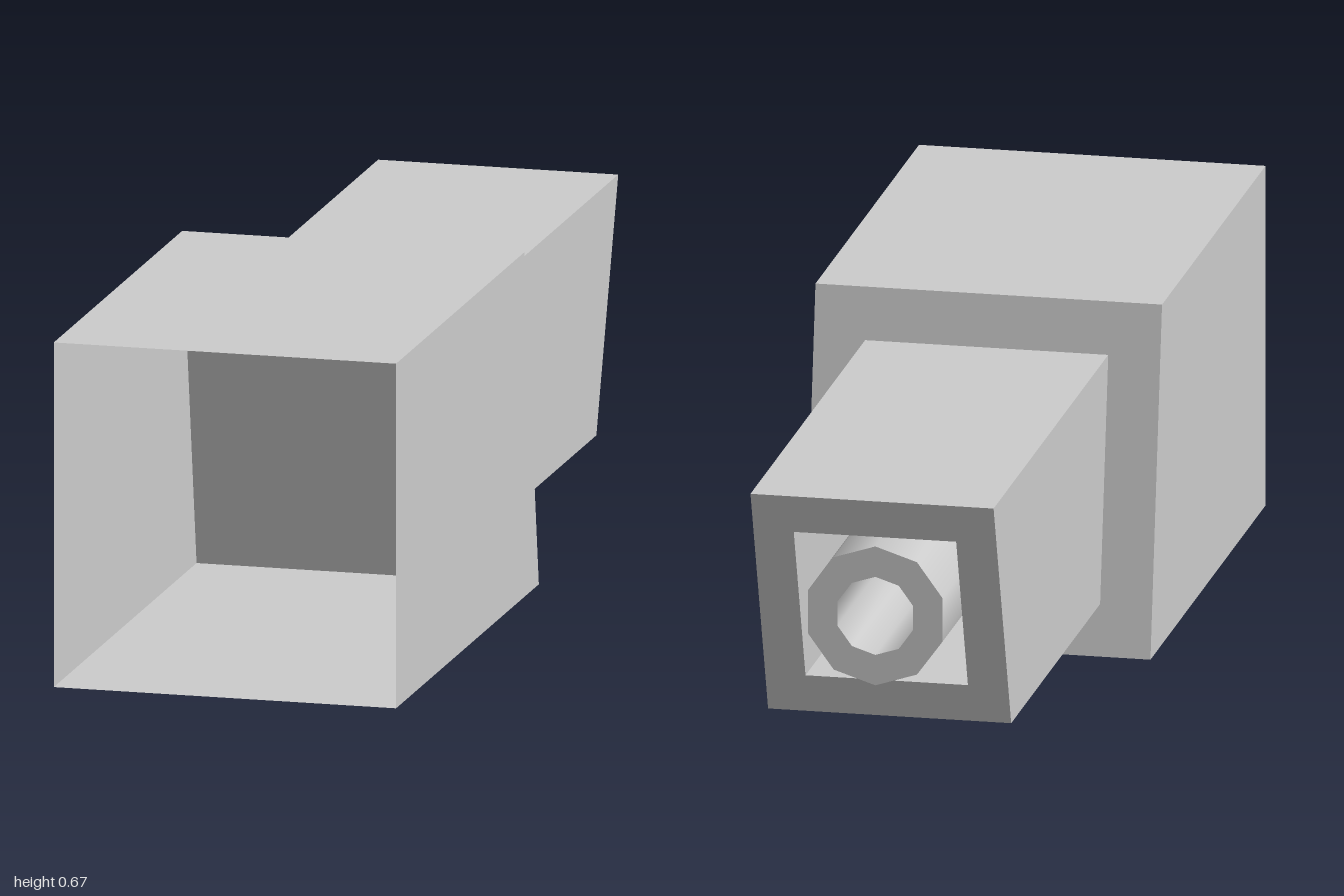
import * as THREE from 'three';
import { toCreasedNormals } from 'three/addons/utils/BufferGeometryUtils.js';

const HEIGHT = 0.67, HALF = 0.335, AXIS = 0.335;

// z of the two sloping planes at a given height
const panelZ = (y) => 0.06 - 0.105 * (1 - y / HEIGHT);
const tipZ = (y) => -0.84 - 0.16 * (y - 0.1) / 0.47;

// Moves the back (z < 0.5) and front ends of a unit-deep prism onto two planes
function fitEnds(geometry, backAt, frontAt) {
  const p = geometry.attributes.position;
  for (let i = 0; i < p.count; i++) {
    const y = p.getY(i);
    p.setZ(i, p.getZ(i) < 0.5 ? backAt(y) : frontAt(y));
  }
  geometry.computeVertexNormals();
  return geometry;
}

function square(PathType, half) {
  return new PathType([[-1, -1], [1, -1], [1, 1], [-1, 1]].map(
    ([x, y]) => new THREE.Vector2(x * half, AXIS + y * half)));
}

export function createModel() {
  const group = new THREE.Group();
  const solid = new THREE.MeshStandardMaterial({ color: 0xcccccc });
  const thin = new THREE.MeshStandardMaterial({ color: 0xcccccc, side: THREE.DoubleSide });
  const add = (name, geometry, material) => {
    const mesh = new THREE.Mesh(geometry, material);
    mesh.name = name;
    group.add(mesh);
  };

  // Large thin-walled housing: open front, sloping back panel
  const box = new THREE.BoxGeometry(HALF * 2, HEIGHT, 1).translate(0, HEIGHT / 2, 0.5);
  const index = Array.from(box.index.array);
  index.splice(24, 6); // remove the front face
  box.setIndex(index);
  add('housing', fitEnds(box, panelZ, () => 1), thin);

  // Square sleeve with a square channel and an angled tip
  const section = square(THREE.Shape, 0.235);
  section.holes.push(square(THREE.Path, 0.157));
  const sleeve = new THREE.ExtrudeGeometry(section, { depth: 1, bevelEnabled: false });
  add('sleeve', fitEnds(sleeve, tipZ, (y) => panelZ(y) - 0.003), solid);

  // Ten-sided hollow barrel inside the sleeve
  const profile = [[0.137, 0.015], [0.137, 0.97], [0.077, 0.97], [0.077, 0.015]]
    .map(([r, y]) => new THREE.Vector2(r, y));
  const barrel = new THREE.LatheGeometry(profile, 10).rotateX(-Math.PI / 2).translate(0, AXIS, 0);
  add('barrel', toCreasedNormals(barrel, 0.8), solid);

  return group;
}
